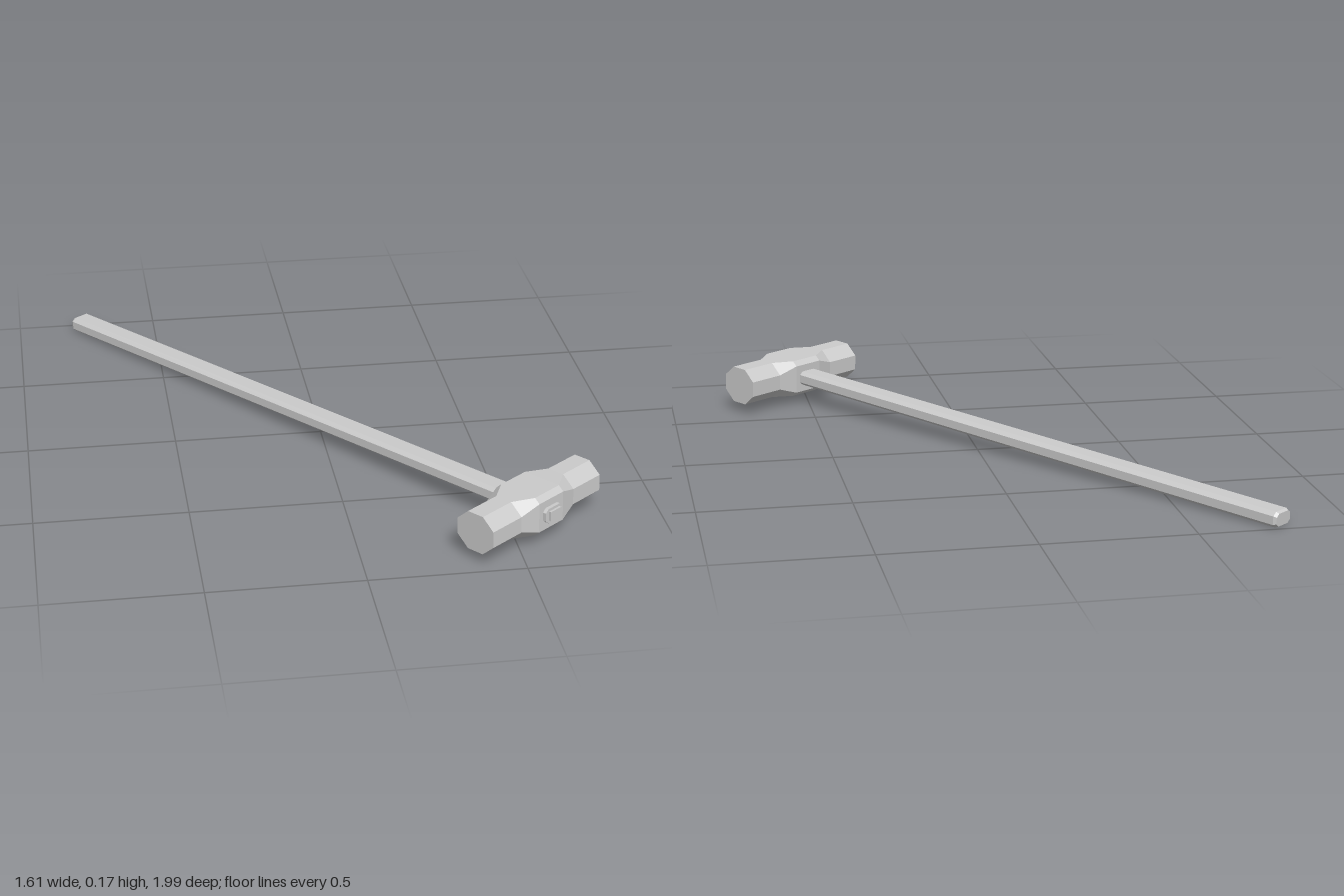
import * as THREE from 'three';

const material = new THREE.MeshStandardMaterial({ color: 0xcccccc, flatShading: true });

// Eight-cornered section: half width a, half height b, corner cuts ca and cb
function octagon(a, b, ca, cb) {
  return [
    [a, -b + cb], [a, b - cb], [a - ca, b], [-a + ca, b],
    [-a, b - cb], [-a, -b + cb], [-a + ca, -b], [a - ca, -b],
  ];
}

// Skin a row of sections along +z, with both ends capped
function loft(sections) {
  const pos = [];
  const rings = sections.map(([z, ...dims]) => octagon(...dims).map(([x, y]) => [x, y, z]));
  const tri = (p, q, r) => pos.push(...p, ...q, ...r);
  for (let i = 0; i < rings.length - 1; i++) {
    for (let j = 0; j < 8; j++) {
      const k = (j + 1) % 8;
      const [p, q, r, s] = [rings[i][j], rings[i][k], rings[i + 1][k], rings[i + 1][j]];
      tri(p, q, r);
      tri(p, r, s);
    }
  }
  const first = rings[0], last = rings[rings.length - 1];
  for (let j = 1; j < 7; j++) {
    tri(first[0], first[j + 1], first[j]);
    tri(last[0], last[j], last[j + 1]);
  }
  const geometry = new THREE.BufferGeometry();
  geometry.setAttribute('position', new THREE.Float32BufferAttribute(pos, 3));
  geometry.computeVertexNormals();
  return geometry;
}

function addPart(group, name, geometry) {
  const mesh = new THREE.Mesh(geometry, material);
  mesh.name = name;
  group.add(mesh);
  return mesh;
}

export function createModel() {
  const model = new THREE.Group();
  model.name = 'sledgehammer';

  // Hammer frame: head along x, handle along z, origin at the head's centre
  const hammer = new THREE.Group();
  hammer.name = 'hammer';
  hammer.position.set(0.553, 0.103, 0.775);
  hammer.rotation.set(-0.034, 0.649, 0, 'YXZ');
  model.add(hammer);

  // Head: octagonal striking ends swelling to a squarer block around the eye
  const end = [0.073, 0.065, 0.043, 0.038];
  const eye = [0.087, 0.066, 0.018, 0.016];
  const head = addPart(hammer, 'head', loft([
    [-0.26, ...end], [-0.127, ...end], [-0.058, ...eye],
    [0.058, ...eye], [0.127, ...end], [0.26, ...end],
  ]));
  head.rotation.y = Math.PI / 2;

  // Handle: flattened bar with trimmed corners, its tip poking through the eye
  addPart(hammer, 'handle', loft([
    [-2.2, 0.036, 0.021, 0.012, 0.010],
    [-2.19, 0.041, 0.026, 0.014, 0.012],
    [0.099, 0.040, 0.025, 0.013, 0.011],
  ]));

  // Wedge driven into the handle tip
  const wedge = addPart(hammer, 'wedge', new THREE.BoxGeometry(0.05, 0.032, 0.03));
  wedge.position.z = 0.092;

  return model;
}
